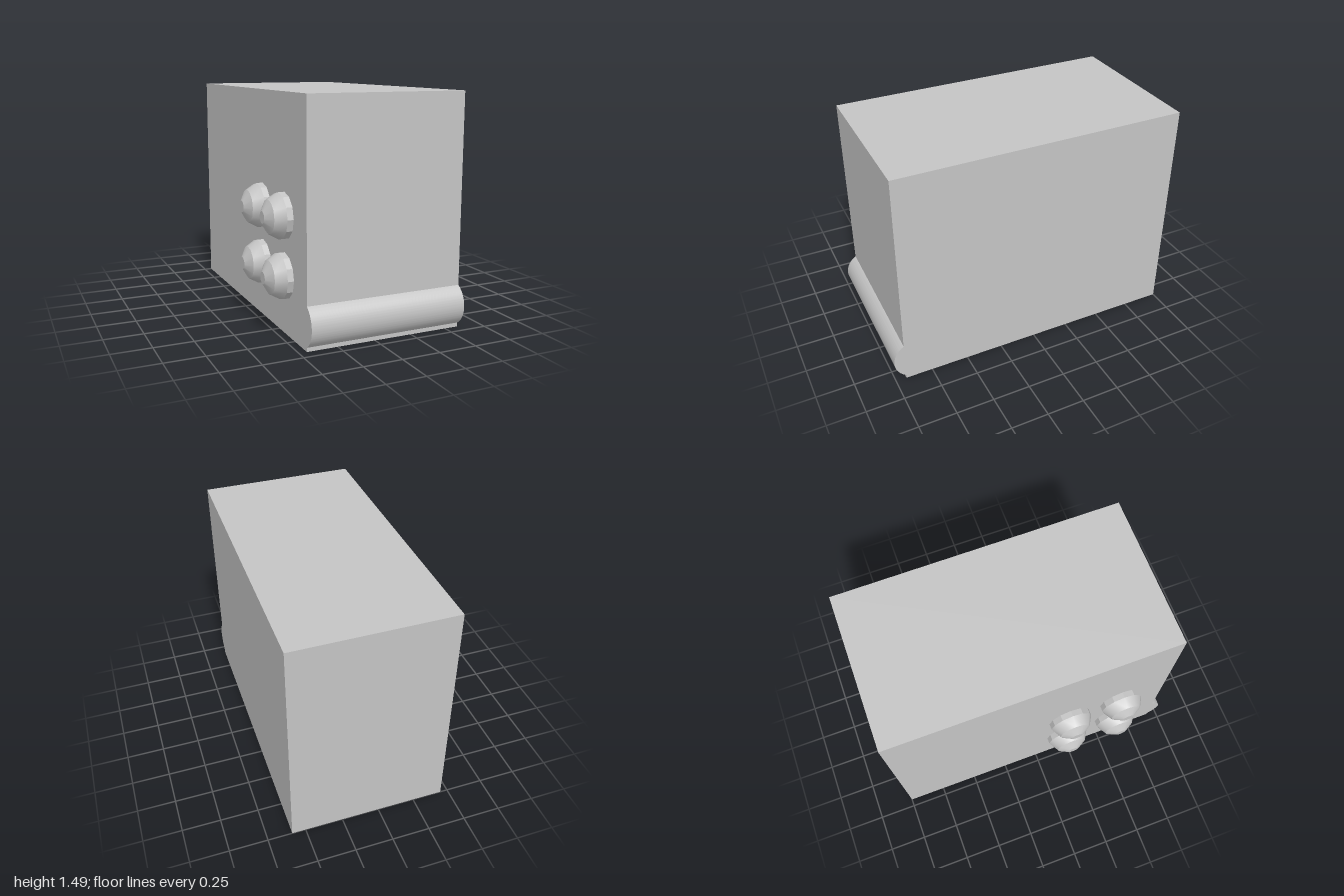
import * as THREE from 'three';
import { toCreasedNormals } from 'three/addons/utils/BufferGeometryUtils.js';

export function createModel() {
  const model = new THREE.Group();
  const grey = new THREE.MeshStandardMaterial({ color: 0xc4c4c4 });
  grey.name = 'plain grey';

  const add = (name, geometry, x, y, z) => {
    const mesh = new THREE.Mesh(geometry, grey);
    mesh.name = name;
    mesh.position.set(x, y, z);
    model.add(mesh);
  };

  // Box body with a rounded lip along the lower front edge: side profile (-z, y) extruded along x
  const left = -0.45, width = 1.04, height = 1.486, front = 0.93;
  const lipR = 0.145, lipY = 0.15, lipZ = 1 - lipR;
  const start = Math.PI - Math.acos((front - lipZ) / lipR);
  const profile = new THREE.Shape();
  profile.moveTo(1, 0);
  profile.lineTo(1, height);
  profile.lineTo(-front, height);
  profile.absarc(-lipZ, lipY, lipR, start, 2 * Math.PI - start, false);
  profile.lineTo(-front, 0);
  profile.closePath();
  const body = new THREE.ExtrudeGeometry(profile, { depth: width, bevelEnabled: false, curveSegments: 24 });
  body.rotateY(Math.PI / 2);
  add('bodyWithFrontLip', toCreasedNormals(body, 0.5), left, 0, 0);

  // Twelve-sided domed knobs, two by two on the -x side
  const r = 0.15;
  const dome = [new THREE.Vector2(r * Math.cos(Math.PI / 12), 0)];
  for (const degrees of [15, 45, 75]) {
    const a = THREE.MathUtils.degToRad(degrees);
    dome.push(new THREE.Vector2(r * Math.cos(a), r * Math.sin(a)));
  }
  dome.push(new THREE.Vector2(0, r * Math.sin((75 * Math.PI) / 180)));
  const knob = toCreasedNormals(new THREE.LatheGeometry(dome, 12).rotateZ(Math.PI / 2), 0.5);
  for (const y of [0.372, 0.745]) {
    for (const z of [0.225, 0.597]) add('sideKnob', knob, left, y, z);
  }

  return model;
}
